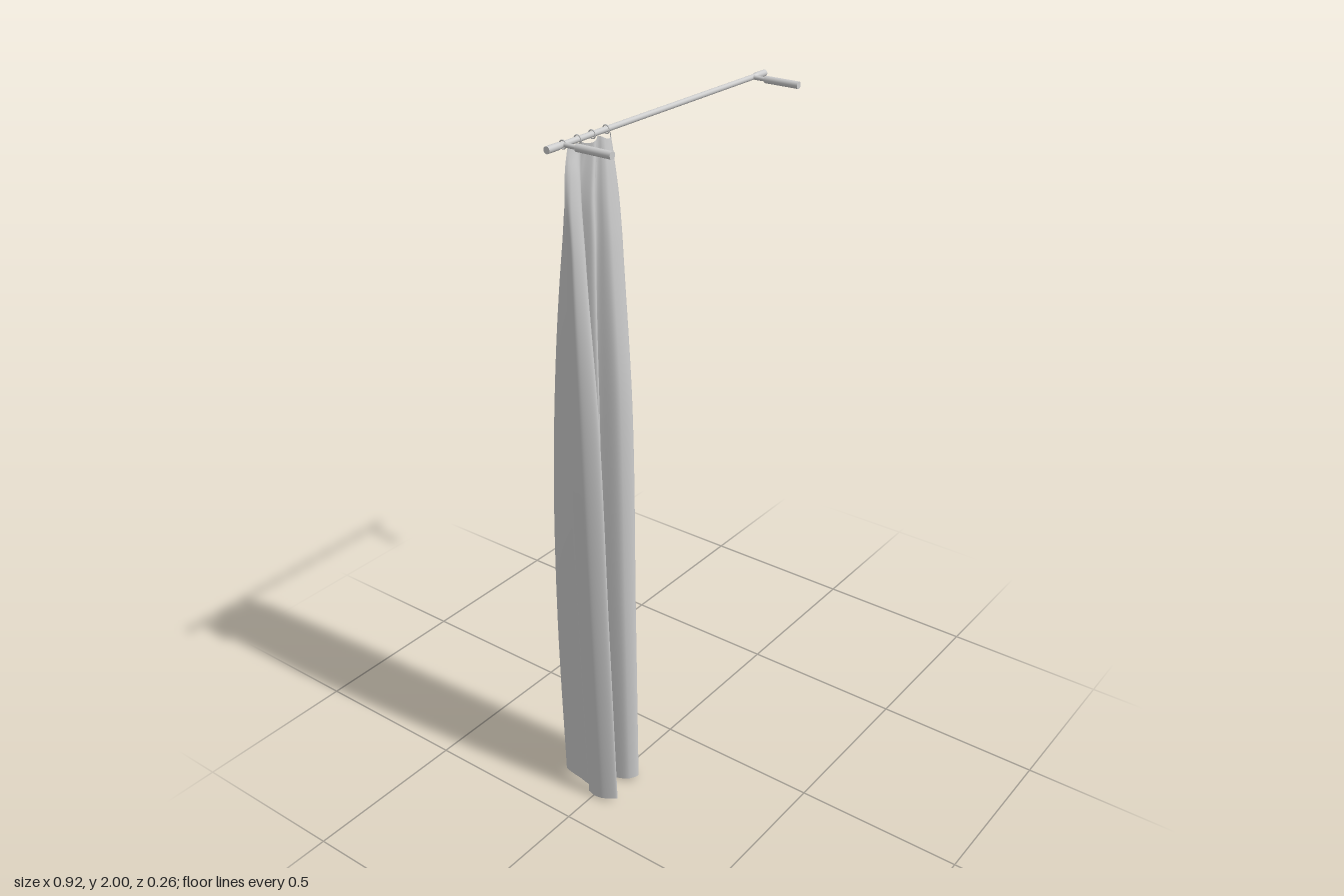
import * as THREE from 'three';

const material = new THREE.MeshStandardMaterial({ color: 0xcccccc });
const fabric = new THREE.MeshStandardMaterial({ color: 0xcccccc, side: THREE.DoubleSide });
const ROD_Y = 1.988, ROD_Z = -0.017;

function add(parent, name, geometry, x = 0, y = 0, z = 0) {
  const mesh = new THREE.Mesh(geometry, material);
  mesh.name = name;
  mesh.position.set(x, y, z);
  parent.add(mesh);
  return mesh;
}

// Smooth interpolation through [key, value] pairs, keys ascending
function sample(table, key) {
  let i = 0;
  while (i < table.length - 2 && key > table[i + 1][0]) i++;
  const slope = (j) => {
    const a = table[Math.max(j - 1, 0)], b = table[Math.min(j + 1, table.length - 1)];
    return (b[1] - a[1]) / (b[0] - a[0]);
  };
  const [k0, v0] = table[i], [k1, v1] = table[i + 1];
  const h = k1 - k0, t = THREE.MathUtils.clamp((key - k0) / h, 0, 1), s = 1 - t;
  return v0 * (1 + 2 * t) * s * s + v1 * t * t * (3 - 2 * t)
    + h * t * s * (slope(i) * s - slope(i + 1) * t);
}

// Curtain: folded plan at the hem, gathered towards the rod
function curtainGeometry() {
  const hem = new THREE.CatmullRomCurve3([
    [-0.381, -0.02], [-0.385, 0.035], [-0.366, 0.077], [-0.351, 0.03], [-0.362, -0.05],
    [-0.35, -0.133], [-0.334, -0.07], [-0.32, 0.02], [-0.292, -0.035], [-0.273, 0.045],
    [-0.245, 0.062], [-0.224, 0], [-0.213, -0.098],
  ].map(([x, z]) => new THREE.Vector3(x, 0, z)), false, 'centripetal');
  const frontDepth = [[0, 1], [0.6, 0.97], [1.24, 0.85], [1.74, 0.32], [1.9, 0.2], [1.98, 0.06]];
  const backDepth = [[0, 1], [0.6, 0.98], [1.18, 0.82], [1.79, 0.46], [1.92, 0.27], [1.98, 0.12]];
  const width = [[0, 1], [0.6, 1.14], [1.2, 1.27], [1.8, 1.27], [1.92, 1.18], [1.98, 1.05]];
  const gather = [[0, 0], [1.2, 0.05], [1.8, 0.35], [1.98, 1]];
  const nu = 160, nv = 60, centre = -0.3, positions = [], indices = [];
  const points = Array.from({ length: nu + 1 }, (_, i) => hem.getPoint(i / nu));
  for (let j = 0; j <= nv; j++) {
    const v = 1 - (1 - j / nv) ** 1.6;
    for (let i = 0; i <= nu; i++) {
      const u = i / nu, p = points[i];
      const low = 0.016 * Math.min(1, Math.abs(p.z) / 0.07);
      const high = 1.979 - 0.012 * Math.sin(u * Math.PI * 3) ** 2;
      const y = THREE.MathUtils.lerp(low, high, v);
      const even = centre + (u - 0.5) * 0.165;
      const x = THREE.MathUtils.lerp(p.x, even, sample(gather, y));
      const lean = -0.012 * THREE.MathUtils.smoothstep(y, 1.7, 1.98);
      positions.push(
        centre - 0.01 * Math.sin(v * Math.PI) + (x - centre) * sample(width, y),
        y,
        p.z * sample(p.z > 0 ? frontDepth : backDepth, y) + lean,
      );
      if (i < nu && j < nv) {
        const a = j * (nu + 1) + i, b = a + nu + 1;
        indices.push(a, a + 1, b + 1, a, b + 1, b);
      }
    }
  }
  const geometry = new THREE.BufferGeometry();
  geometry.setAttribute('position', new THREE.Float32BufferAttribute(positions, 3));
  geometry.setIndex(indices);
  geometry.computeVertexNormals();
  return geometry;
}

export function createModel() {
  const model = new THREE.Group();
  model.name = 'curtainOnRod';

  add(model, 'rod', new THREE.CylinderGeometry(0.0075, 0.0075, 0.84, 24), 0, ROD_Y, ROD_Z)
    .rotation.z = Math.PI / 2;

  for (const side of [-1, 1]) {
    // End caps: tapered collar and wider tip
    const cap = new THREE.Group();
    cap.name = side > 0 ? 'leftEndCap' : 'rightEndCap';
    cap.position.set(0, ROD_Y, ROD_Z);
    cap.rotation.z = -side * Math.PI / 2;
    add(cap, 'collar', new THREE.CylinderGeometry(0.0095, 0.0075, 0.012, 24), 0, 0.412);
    add(cap, 'tip', new THREE.CylinderGeometry(0.0095, 0.0095, 0.041, 24), 0, 0.4385);
    model.add(cap);

    // Wall brackets: thin neck and thicker sleeve
    const bracket = new THREE.Group();
    bracket.name = side > 0 ? 'leftBracket' : 'rightBracket';
    bracket.position.set(side * 0.4, ROD_Y, 0);
    bracket.rotation.x = Math.PI / 2;
    add(bracket, 'neck', new THREE.CylinderGeometry(0.006, 0.006, 0.045, 20), 0, 0.0055);
    add(bracket, 'sleeve', new THREE.CylinderGeometry(0.01, 0.01, 0.106, 24), 0, 0.079);
    model.add(bracket);
  }

  // Hanging rings
  for (let i = 0; i < 4; i++) {
    add(model, 'ring', new THREE.TorusGeometry(0.0105, 0.0017, 10, 28), -0.4 + i * 0.054, ROD_Y, ROD_Z)
      .rotation.y = Math.PI / 2;
  }

  add(model, 'curtain', curtainGeometry()).material = fabric;
  return model;
}
